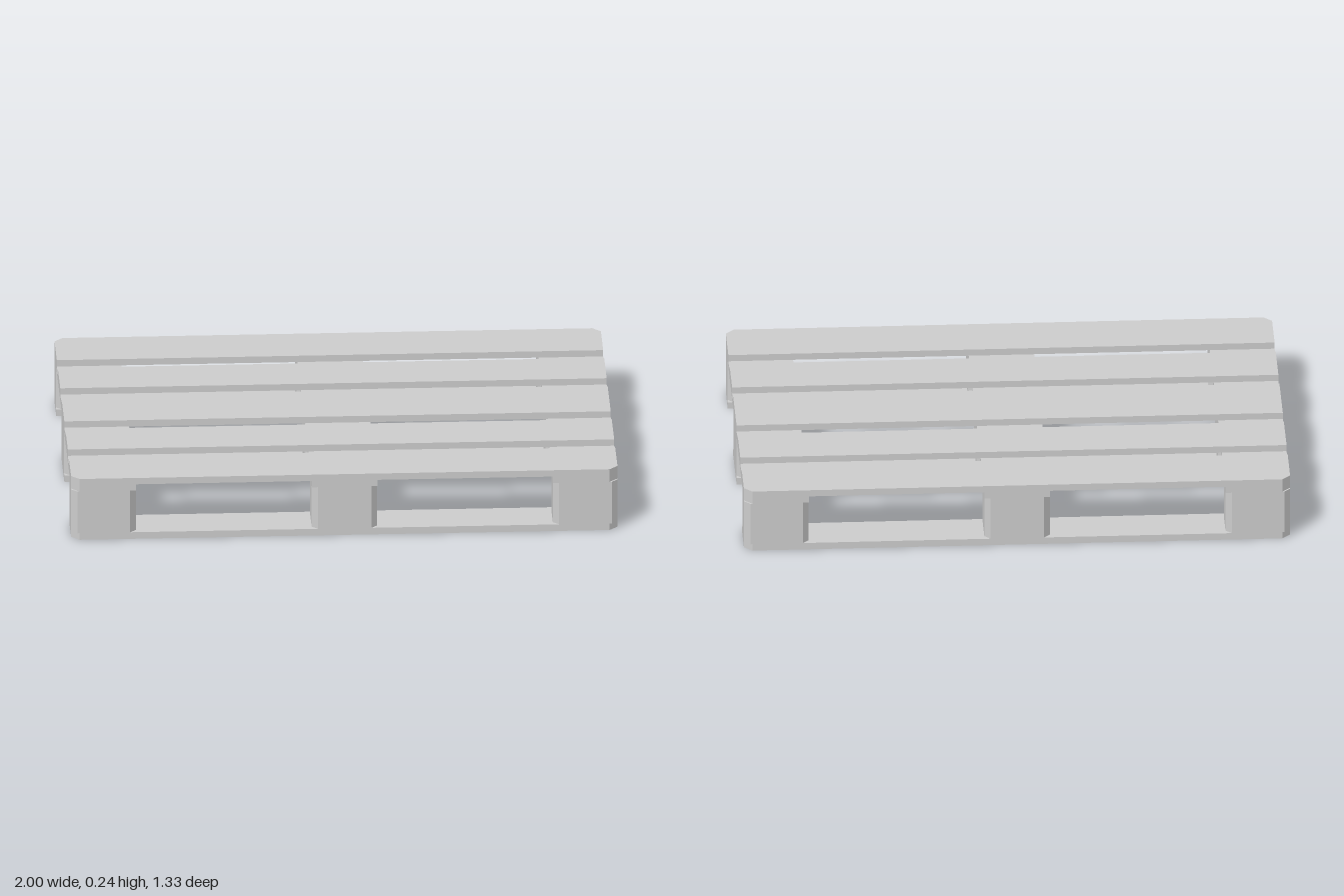
import * as THREE from 'three';

// Upright prism over a rectangle, with its corners cut at 45 degrees.
// cuts: [+x+z, +x-z, -x-z, -x+z]
function prism([x0, x1], [z0, z1], [y0, y1], cuts = [0, 0, 0, 0]) {
  const [a, b, c, d] = cuts;
  const pts = [];
  const add = (x, z) => pts.push(new THREE.Vector2(x, -z));
  const corner = (cut, p, q) => {
    add(...p);
    if (cut) add(...q);
  };
  corner(a, [x1 - a, z1], [x1, z1 - a]);
  corner(b, [x1, z0 + b], [x1 - b, z0]);
  corner(c, [x0 + c, z0], [x0, z0 + c]);
  corner(d, [x0, z1 - d], [x0 + d, z1]);
  const g = new THREE.ExtrudeGeometry(new THREE.Shape(pts), { depth: y1 - y0, bevelEnabled: false });
  return g.rotateX(-Math.PI / 2).translate(0, y0, 0);
}

export function createModel() {
  const pallet = new THREE.Group();
  pallet.name = 'pallet';
  const grey = new THREE.MeshStandardMaterial({ color: 0xcccccc });
  grey.name = 'plainGrey';

  const D = 0.665; // half depth
  const CUT = 0.03; // corner cut of the boards
  const BLOCK_CUT = 0.022; // corner cut of the blocks
  const BASE = [0, 0.026], BLOCK = [0.026, 0.191], CROSS = [0.191, 0.216], DECK = [0.216, 0.241];
  const columns = [[-1, -0.763], [-0.12, 0.12], [0.763, 1]];
  const rows = [[-D, -0.502], [-0.12, 0.12], [0.502, D]];
  const deckRows = [[-D, -0.457], [-0.385, -0.192], [-0.12, 0.12], [0.192, 0.385], [0.457, D]];

  // Cuts only the corners that lie on the outer corners of the pallet
  const outerCuts = ([x0, x1], [z0, z1]) => [
    [x1, z1], [x1, z0], [x0, z0], [x0, z1],
  ].map(([x, z]) => (Math.abs(x) === 1 && Math.abs(z) === D ? CUT : 0));

  function add(name, xs, zs, ys, cuts = outerCuts(xs, zs)) {
    const mesh = new THREE.Mesh(prism(xs, zs, ys, cuts), grey);
    mesh.name = name;
    pallet.add(mesh);
  }

  // Lengthwise boards, top and bottom
  for (const zs of deckRows) add('deckBoard', [-1, 1], zs, DECK);
  for (const zs of rows) add('bottomBoard', [-1, 1], zs, BASE);

  // Cross boards, with three spacer blocks under each
  for (const xs of columns) {
    add('crossBoard', xs, [-D, D], CROSS);
    for (const zs of rows) add('spacerBlock', xs, zs, BLOCK, Array(4).fill(BLOCK_CUT));
  }
  return pallet;
}
